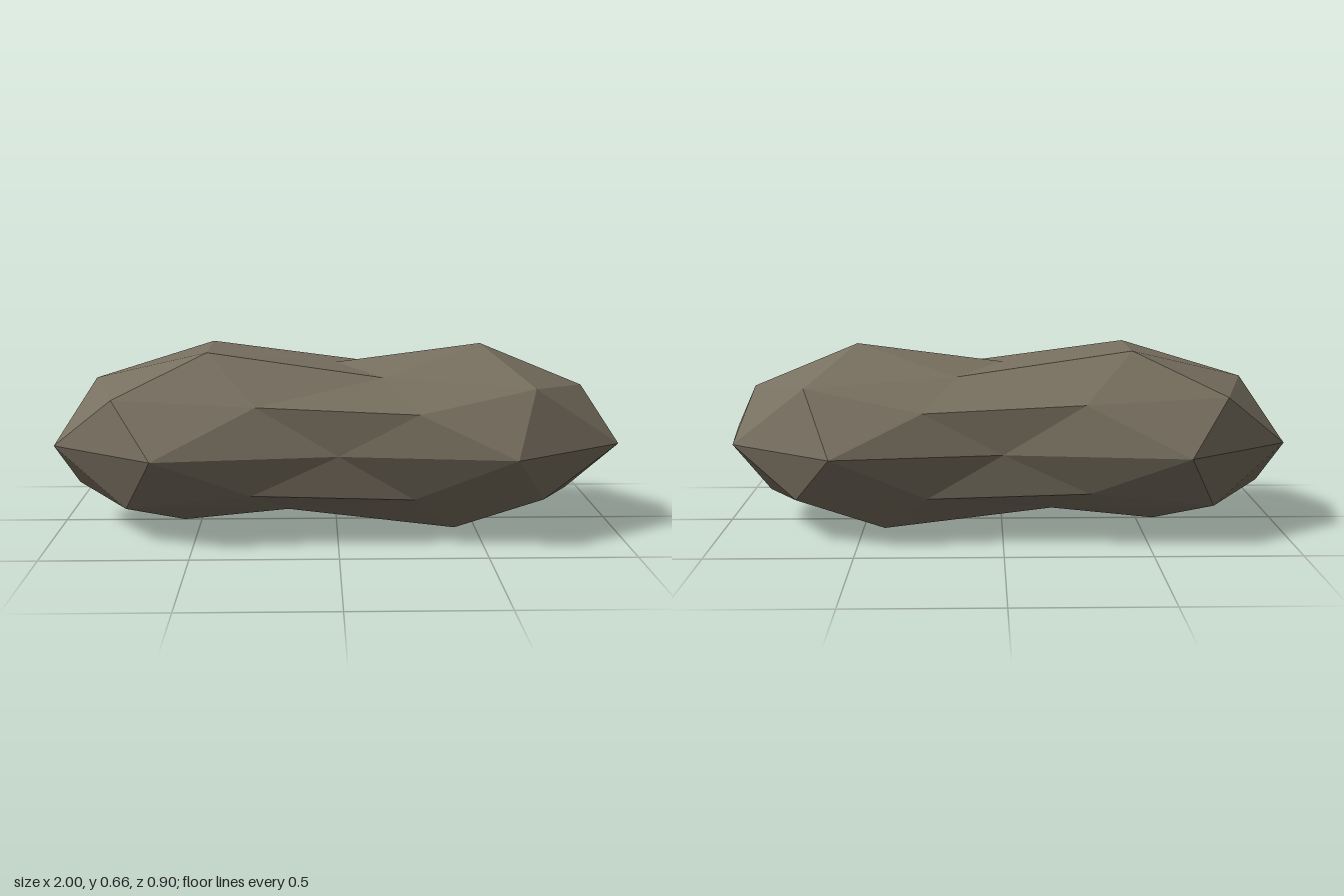
import * as THREE from 'three';

// Cross-section scale along the length: narrow waist, two full lobes
const WAIST = [[0, 0.37], [0.16, 0.388], [0.28, 0.44], [0.43, 0.53], [0.53, 0.544], [0.6, 0.556], [1, 0.565]];

function girth(x) {
  const a = Math.abs(x);
  const i = Math.max(1, WAIST.findIndex(([p]) => p >= a));
  const [x0, g0] = WAIST[i - 1], [x1, g1] = WAIST[i];
  return THREE.MathUtils.mapLinear(a, x0, x1, g0, g1);
}

// The rock's two lobes are slightly uneven in length
function stretch(x, y, z) {
  if (x < 0) return x < -0.92 ? 1.05 : x < -0.87 ? 1.057 : x < -0.8 ? 1.02 : 1.07;
  if (Math.abs(y) < 0.01 && z > 0) return x > 0.9 ? 1.05 : 1.02;
  return x > 0.8 ? 1.0 : 0.99;
}

export function createModel() {
  const group = new THREE.Group();
  group.name = 'asteroid';

  const stone = new THREE.MeshStandardMaterial({ color: 0x787060, flatShading: true });
  stone.name = 'greyBrownStone';

  // Subdivided icosahedron, turned so a corner points up and its upper ring starts at +x
  const geo = new THREE.IcosahedronGeometry(1, 1);
  geo.rotateX(-Math.atan((1 + Math.sqrt(5)) / 2));
  geo.rotateY(Math.PI / 2);

  // Squash it into the two-lobed shape
  const pos = geo.attributes.position;
  for (let i = 0; i < pos.count; i++) {
    const x = pos.getX(i), y = pos.getY(i), z = pos.getZ(i);
    const g = girth(x);
    pos.setXYZ(i, x * stretch(x, y, z), 0.32 + y * g * (y > 0 ? 0.73 : 0.69), z * g);
  }
  geo.computeVertexNormals();

  const rock = new THREE.Mesh(geo, stone);
  rock.name = 'rockBody';
  group.add(rock);
  return group;
}
